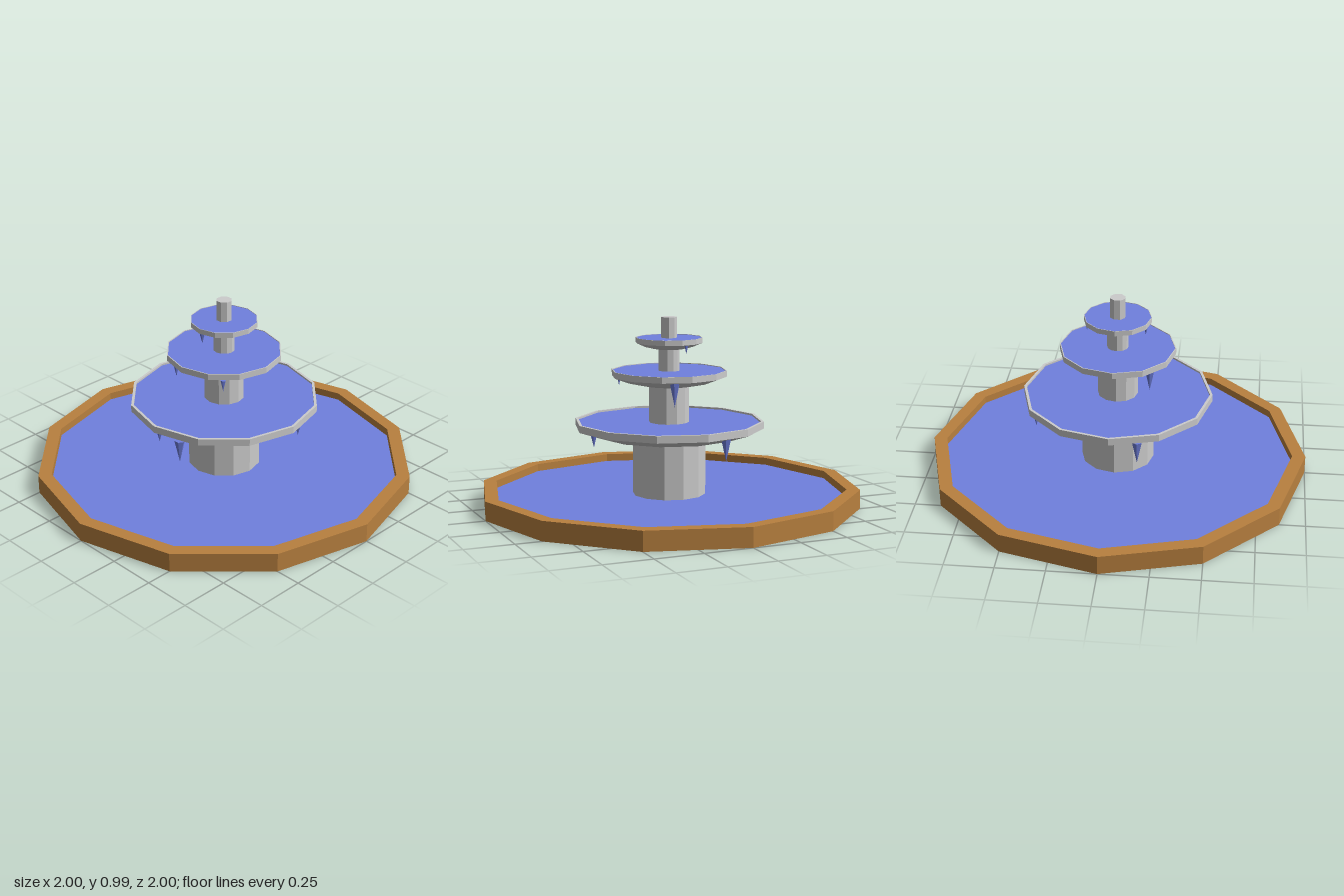
import * as THREE from 'three';

const SIDES = 12;

function material(color) {
  return new THREE.MeshStandardMaterial({ color, flatShading: true });
}

export function createModel() {
  const group = new THREE.Group();
  group.name = 'fountain';
  const stone = material(0xcccccc);
  const wood = material(0xb8803f);
  const water = material(0x7080de);

  function add(name, geometry, mat, x = 0, y = 0, z = 0) {
    const mesh = new THREE.Mesh(geometry, mat);
    mesh.name = name;
    mesh.position.set(x, y, z);
    group.add(mesh);
    return mesh;
  }

  // Faceted solid of revolution from [radius, height] pairs
  function lathe(name, points, mat) {
    return add(name, new THREE.LatheGeometry(points.map(p => new THREE.Vector2(...p)), SIDES), mat);
  }

  function column(name, radius, bottom, top, sides = SIDES) {
    return add(name, new THREE.CylinderGeometry(radius, radius, top - bottom, sides), stone, 0, (bottom + top) / 2, 0);
  }

  function waterDisc(name, radius, y) {
    add(name, new THREE.CircleGeometry(radius, SIDES).rotateX(-Math.PI / 2), water, 0, y, 0);
  }

  // Ground basin with a raised rim, filled with water
  lathe('basin', [[0, 0], [1, 0], [1, 0.1], [0.93, 0.1], [0.93, 0.05]], wood);
  waterDisc('basinWater', 0.93, 0.06);

  // Central columns and spout
  column('lowerColumn', 0.192, 0.05, 0.36);
  column('middleColumn', 0.105, 0.43, 0.65);
  column('upperColumn', 0.056, 0.7, 0.84);
  column('spout', 0.041, 0.87, 0.99, 8).rotation.y = Math.PI / 8;

  // Bowls; each drip is [x, z, radius, tip height]
  const tiers = [
    {
      name: 'lower', radius: 0.497, lip: 0.014, base: 0.345, edge: 0.413, top: 0.45,
      drips: [[-0.452, 0.14, 0.028, 0.285], [-0.14, -0.438, 0.028, 0.285], [0.415, -0.135, 0.028, 0.29],
        [-0.46, 0, 0.016, 0.35], [0.085, 0.45, 0.016, 0.35]]
    },
    {
      name: 'middle', radius: 0.302, lip: 0.005, base: 0.635, edge: 0.682, top: 0.714,
      drips: [[0.25, 0.075, 0.027, 0.556], [-0.18, -0.17, 0.027, 0.556], [-0.205, 0.2, 0.014, 0.615]]
    },
    {
      name: 'upper', radius: 0.175, lip: 0.003, base: 0.825, edge: 0.857, top: 0.884,
      drips: [[-0.145, -0.01, 0.016, 0.79], [0.155, -0.03, 0.01, 0.812]]
    }
  ];

  for (const { name, radius, lip, base, edge, top, drips } of tiers) {
    const rise = edge - base;
    const inner = radius - lip;
    lathe(name + 'Bowl', [
      [0, base], [radius * 0.45, base], [radius * 0.75, base + rise * 0.4],
      [radius, edge], [radius, top], [inner, top], [inner, top - 0.02]
    ], stone);
    waterDisc(name + 'Water', inner, top - lip * 0.7);

    // Drips hanging under the rim
    for (const [x, z, r, tip] of drips) {
      const start = edge - 0.004;
      const cone = new THREE.ConeGeometry(r, start - tip, 6).rotateX(Math.PI);
      add(name + 'Drip', cone, water, x, (start + tip) / 2, z);
    }
  }

  return group;
}
